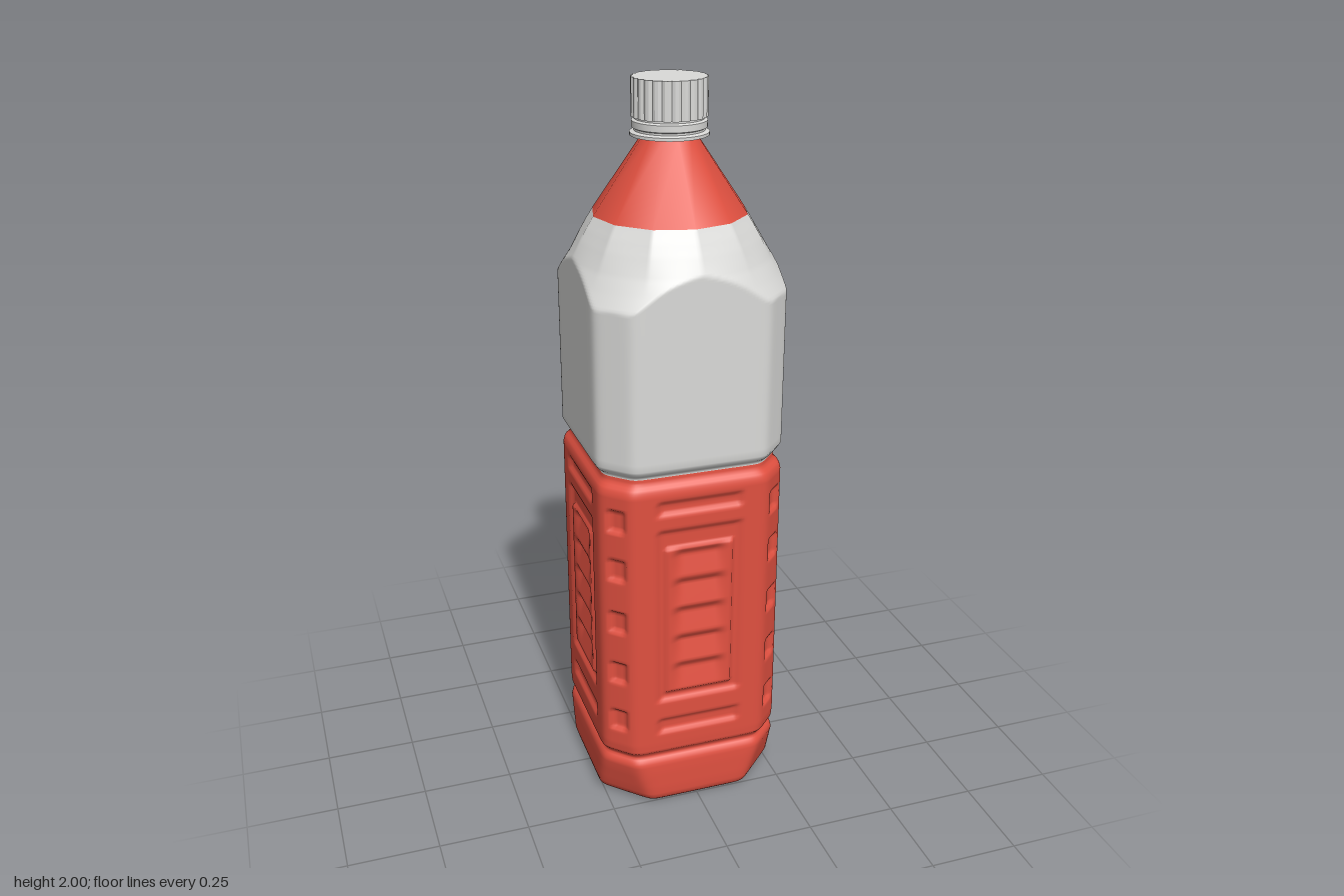
import * as THREE from 'three';
import { toCreasedNormals } from 'three/addons/utils/BufferGeometryUtils.js';

const lerp = THREE.MathUtils.lerp;
const ss = (v, e = 0.012) => THREE.MathUtils.smoothstep(v, 0, e);
// soft-edged rectangle, 1 inside and 0 outside
const box = (t, y, hw, y0, y1, e) => ss(hw - Math.abs(t), e) * ss(y - y0, e) * ss(y1 - y, e);

// piecewise linear lookup in [y, value] pairs
function along(pairs, y) {
  for (let i = 1; i < pairs.length; i++) {
    const [y0, v0] = pairs[i - 1], [y1, v1] = pairs[i];
    if (y <= y1) return lerp(v0, v1, Math.max(0, (y - y0) / (y1 - y0)));
  }
  return pairs[pairs.length - 1][1];
}

// columns round the chamfered square: four flat sides and four corners
const columns = [];
for (let q = 0; q < 4; q++) {
  const turn = q * Math.PI / 2;
  for (let i = 0; i < 44; i++) {
    const t = lerp(-0.187, 0.187, i / 44);
    columns.push({ a: turn + Math.atan2(t, 0.262), t, corner: false });
  }
  for (let i = 0; i < 14; i++) {
    const t = lerp(-0.053, 0.053, i / 14);
    columns.push({ a: turn + Math.PI / 4 + Math.atan2(t, 0.317), t, corner: true });
  }
}

// radius of a softened octagon with side distance h and corner distance c
function octagon(a, h, c) {
  let sum = 0;
  for (let k = 0; k < 8; k++) {
    const d = Math.cos(a - k * Math.PI / 4) / (k % 2 ? c : h);
    if (d > 0) sum += d ** 45;
  }
  return sum ** (-1 / 45);
}

// radius factor of a twelve-sided polygon
function twelve(a) {
  const s = Math.PI / 6;
  const m = ((a % s) + s) % s;
  return Math.cos(s / 2) / Math.cos(m - s / 2);
}

// closed skin through rows; point(row, column) returns [radius, y]
function loft(rows, point) {
  const pos = [], index = [], n = columns.length;
  rows.forEach((row, i) => columns.forEach((col, j) => {
    const [r, y] = point(row, col);
    pos.push(r * Math.sin(col.a), y, r * Math.cos(col.a));
    if (i === 0) return;
    const k = (j + 1) % n, lo = (i - 1) * n, hi = i * n;
    index.push(lo + j, lo + k, hi + k, lo + j, hi + k, hi + j);
  }));
  const g = new THREE.BufferGeometry();
  g.setAttribute('position', new THREE.Float32BufferAttribute(pos, 3));
  g.setIndex(index);
  g.computeVertexNormals();
  return g;
}

// moulded relief of the lower body, as depth below the surface
function sideRelief(t, y) {
  let d = 0.010 * box(t, y, 0.127, 0.335, 0.875, 0.016);
  d -= 0.009 * box(t, y, 0.104, 0.36, 0.82, 0.010);
  d += 0.010 * box(t, y, 0.127, 0.91, 0.96, 0.016);
  d += 0.010 * box(t, y, 0.127, 0.23, 0.285, 0.016);
  // louvres inside the panel
  const p = (y - 0.372) / 0.088;
  if (p > 0 && p < 5) {
    const f = p - Math.floor(p);
    const wave = f < 0.75 ? f / 0.75 : (1 - f) / 0.25;
    d += 0.014 * wave * ss(0.088 - Math.abs(t), 0.04);
  }
  return d;
}
function cornerRelief(t, y) {
  let d = 0;
  for (const c of [0.28, 0.435, 0.595, 0.755, 0.9]) d += 0.012 * box(t, y, 0.03, c - 0.036, c + 0.036, 0.012);
  return d;
}

const sideProfile = [[0, 0.245], [0.01, 0.256], [0.03, 0.262], [0.125, 0.262], [0.142, 0.257], [0.153, 0.247],
  [0.163, 0.249], [0.175, 0.259], [0.2, 0.26], [0.975, 0.26], [0.992, 0.256], [1.005, 0.243], [1.025, 0.241],
  [1.035, 0.253], [1.05, 0.262], [2, 0.263]];
const cornerProfile = [[0, 0.268], [0.01, 0.279], [0.03, 0.289], [0.125, 0.313], [0.142, 0.31], [0.153, 0.3],
  [0.163, 0.303], [0.175, 0.314], [0.2, 0.317], [0.975, 0.317], [0.992, 0.312], [1.005, 0.296], [1.025, 0.294],
  [1.035, 0.305], [1.05, 0.314], [2, 0.315]];
const shoulder = [[1.44, 0.35], [1.475, 0.315], [1.51, 0.291], [1.55, 0.266], [1.6, 0.241], [1.63, 0.224], [1.66, 0.205]];

function lowerBody() {
  // hollow base first, then up the sides
  const base = [[0, 0.055], [0.15, 0.054], [0.3, 0.05], [0.4, 0.044], [0.5, 0.035], [0.6, 0.024], [0.7, 0.012],
    [0.78, 0.004], [0.85, 0], [0.94, 0]];
  const rows = base.map(([s, y]) => ({ s, y }));
  for (const y of [0.002, 0.01, 0.02, 0.03, 0.06, 0.09, 0.125, 0.134, 0.142, 0.148, 0.153, 0.158, 0.163, 0.169]) rows.push({ s: 1, y });
  for (let i = 0; i <= 130; i++) rows.push({ s: 1, y: lerp(0.175, 1.02, i / 130) });
  return loft(rows, ({ s, y }, { a, t, corner }) => {
    const h = along(sideProfile, y) - (corner ? 0 : sideRelief(t, y));
    const c = along(cornerProfile, y) - (corner ? cornerRelief(t, y) : 0);
    if (s === 1) return [octagon(a, h, c), y];
    // radial ribs under the base
    const rib = 0.012 * Math.max(0, Math.cos(8 * a)) * ss(s - 0.15, 0.25) * ss(0.84 - s, 0.25);
    return [s * octagon(a, 0.245, 0.268), y + rib];
  });
}

function upperBody() {
  const rows = [1.02, 1.025, 1.03, 1.035, 1.042, 1.05, 1.07, 1.25, 1.42];
  for (let i = 0; i <= 36; i++) rows.push(lerp(1.44, 1.66, i / 36));
  return loft(rows, (y, { a }) => {
    const r = octagon(a, along(sideProfile, y), along(cornerProfile, y));
    const limit = y < 1.44 ? 1 : along(shoulder, y) * lerp(1, twelve(a), ss(y - 1.5, 0.16));
    return [Math.min(r, limit), y];
  });
}

// screw cap with grip ribs
function capGeometry() {
  const g = new THREE.CylinderGeometry(0.098, 0.098, 0.098, 72, 1);
  const p = g.attributes.position;
  for (let i = 0; i < p.count; i++) {
    const x = p.getX(i), z = p.getZ(i);
    if (Math.hypot(x, z) < 0.01) continue;
    const k = Math.round((Math.atan2(x, z) / (Math.PI * 2) + 1) * 72);
    const f = k % 3 === 0 ? 0.955 : 1;
    p.setXYZ(i, x * f, p.getY(i), z * f);
  }
  return toCreasedNormals(g, 0.3);
}

function lathe(points) {
  return toCreasedNormals(new THREE.LatheGeometry(points.map(([r, y]) => new THREE.Vector2(r, y)), 48), 0.6);
}

export function createModel() {
  const red = new THREE.MeshStandardMaterial({ color: 0xe05040 });
  red.name = 'red';
  const paleGrey = new THREE.MeshStandardMaterial({ color: 0xdadad8 });
  paleGrey.name = 'paleGrey';

  const model = new THREE.Group();
  model.name = 'bottle';
  const add = (name, geometry, material, y = 0) => {
    const mesh = new THREE.Mesh(geometry, material);
    mesh.name = name;
    mesh.position.y = y;
    model.add(mesh);
  };

  add('lowerBody', lowerBody(), red);
  add('upperBody', upperBody(), paleGrey);
  add('neckCone', new THREE.CylinderGeometry(0.072, 0.205, 0.195, 12, 1, true), red, 1.7575);
  // collar and tamper ring under the cap
  add('neckRing', lathe([[0.06, 1.853], [0.102, 1.856], [0.102, 1.864], [0.091, 1.868], [0.091, 1.873],
    [0.097, 1.876], [0.097, 1.893], [0.09, 1.897], [0.09, 1.905]]), paleGrey);
  add('cap', capGeometry(), paleGrey, 1.951);
  return model;
}
